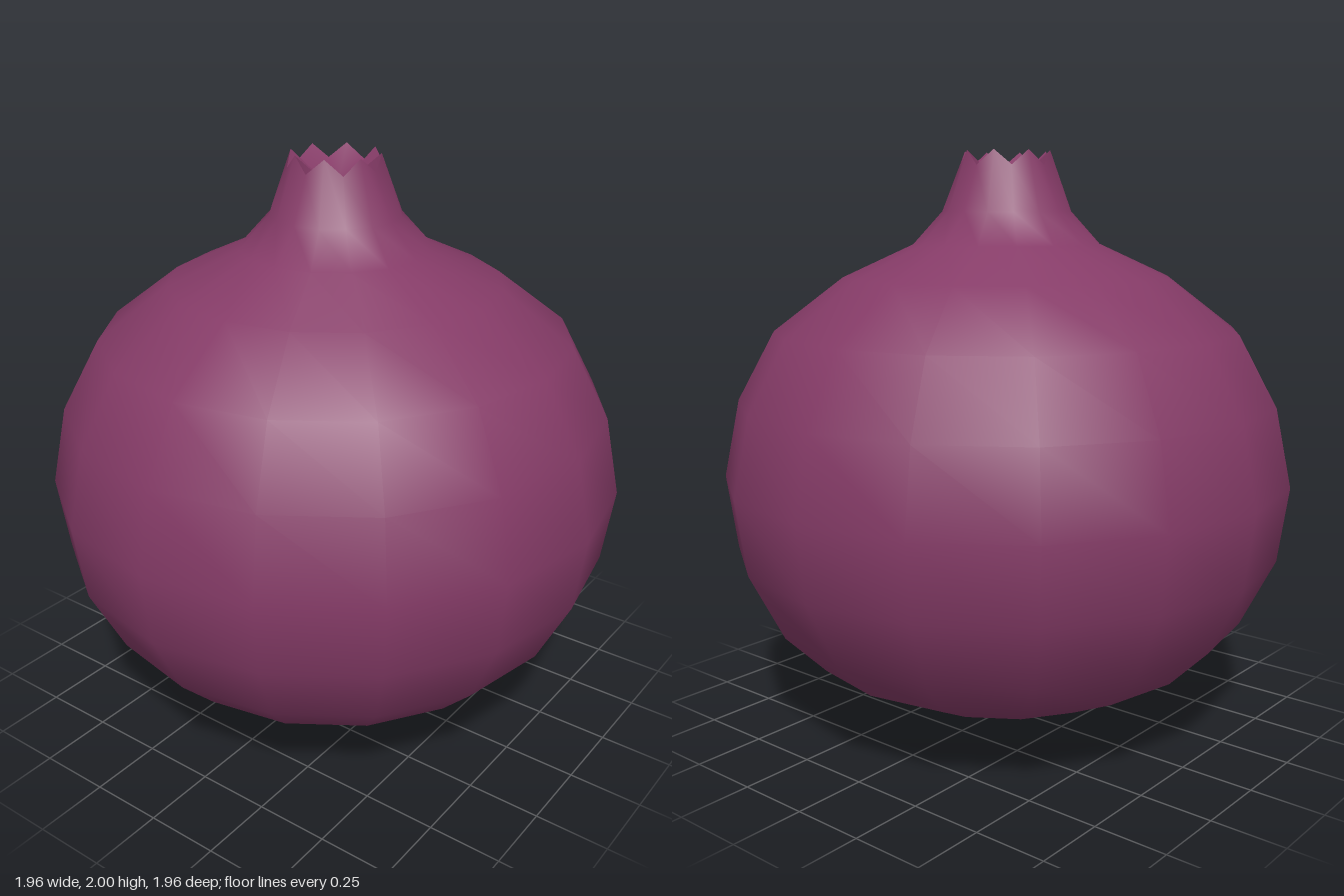
import * as THREE from 'three';
import { mergeVertices } from 'three/addons/utils/BufferGeometryUtils.js';

const SIDES = 16;
const TIP = [0.15, 2.0];
const NOTCH = [0.158, 1.95];

// Lathe with one smooth normal per welded vertex; rimIndex marks the ring cut into teeth
function turned(profile, rimIndex = -1) {
  const geo = new THREE.LatheGeometry(profile.map(([r, y]) => new THREE.Vector2(r, y)), SIDES);
  const pos = geo.attributes.position;
  if (rimIndex >= 0) {
    for (let i = 0; i <= SIDES; i++) {
      const [r, y] = i % 2 ? TIP : NOTCH;
      const a = (i / SIDES) * Math.PI * 2;
      pos.setXYZ(i * profile.length + rimIndex, r * Math.sin(a), y, r * Math.cos(a));
    }
  }
  geo.deleteAttribute('uv');
  geo.deleteAttribute('normal');
  const welded = mergeVertices(geo, 1e-4);
  welded.computeVertexNormals();
  return welded;
}

export function createModel() {
  const group = new THREE.Group();
  group.name = 'pomegranate';
  const skin = new THREE.MeshStandardMaterial({ color: 0x853b67 });
  skin.name = 'plum skin';

  const add = (name, geometry) => {
    const mesh = new THREE.Mesh(geometry, skin);
    mesh.name = name;
    group.add(mesh);
  };

  // Fruit body, flowing up into the outside of the toothed crown
  const body = [
    [0.145, 0.03], [0.23, 0.09], [0.47, 0.165], [0.69, 0.275], [0.83, 0.415],
    [0.945, 0.645], [0.98, 0.9], [0.925, 1.165], [0.797, 1.4], [0.56, 1.58],
    [0.32, 1.69], [0.22, 1.8], TIP,
  ];
  add('body', turned(body, body.length - 1));

  // Shallow hollow inside the crown
  add('crownHollow', turned([TIP, [0, 1.87]], 0));

  // Slightly domed cap under the fruit
  add('base', turned([[0, 0], [0.145, 0.03]]));

  return group;
}
